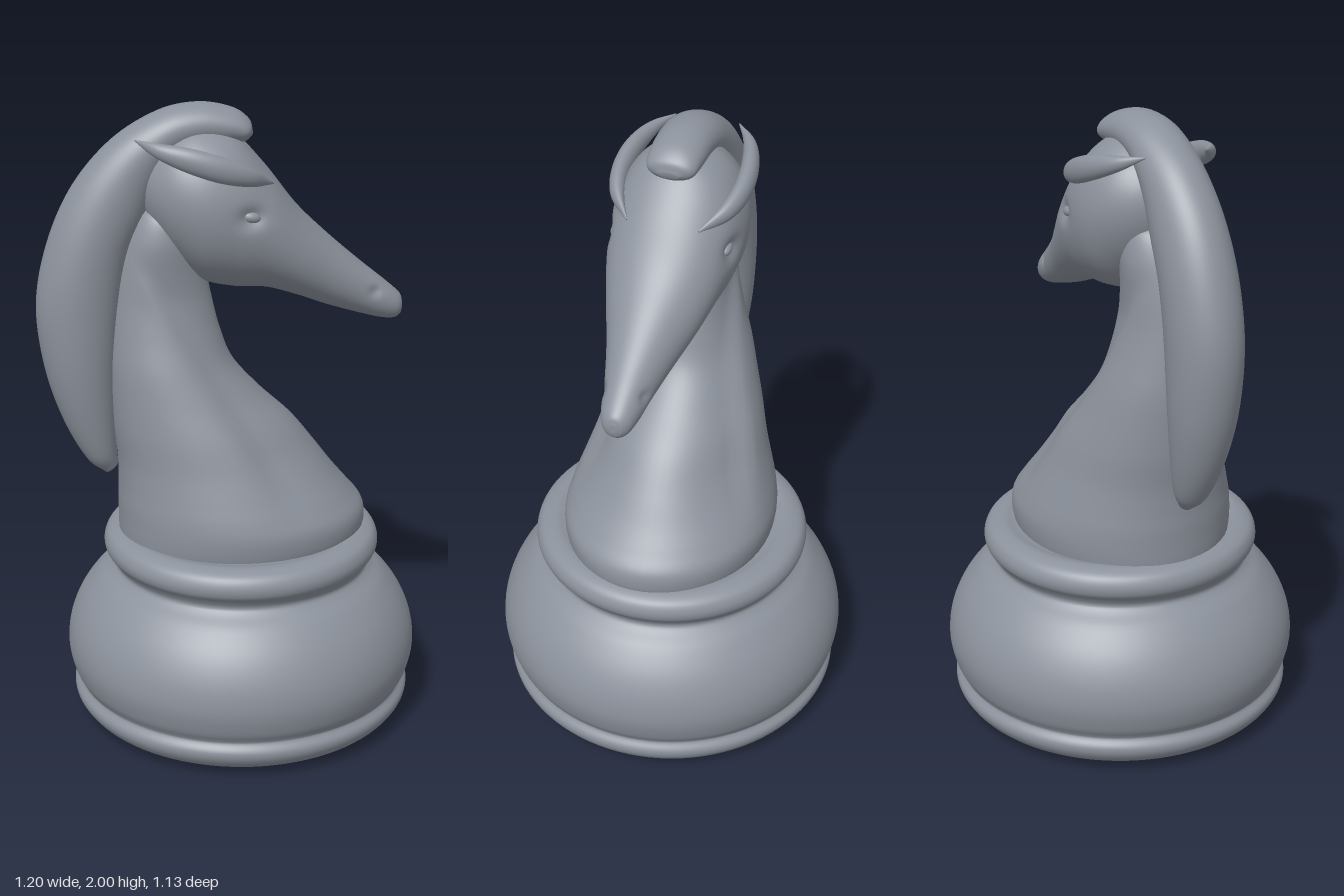
import * as THREE from 'three';

const stone = new THREE.MeshStandardMaterial({ color: 0x8c929c });
stone.name = 'grey stone';

function part(name, geometry) {
  const m = new THREE.Mesh(geometry, stone);
  m.name = name;
  return m;
}

// Smooth skin over elliptical sections. Row: centre x, y, z, then half-axis x, y and half-width in z.
function loft(rows, sculpt, steps = 8, sides = 56) {
  const curve = (from) => new THREE.CatmullRomCurve3(
    rows.map((r) => new THREE.Vector3(r[from], r[from + 1], r[from + 2])), false, 'catmullrom');
  const centres = curve(0), sizes = curve(3);
  const n = (rows.length - 1) * steps;
  const pos = [], idx = [];
  for (let i = 0; i <= n; i++) {
    const c = centres.getPoint(i / n), s = sizes.getPoint(i / n);
    for (let j = 0; j < sides; j++) {
      const a = (j / sides) * Math.PI * 2;
      const p = new THREE.Vector3(
        c.x + s.x * Math.cos(a), c.y + s.y * Math.cos(a), c.z + s.z * Math.sin(a));
      if (sculpt) sculpt(p);
      pos.push(p.x, p.y, p.z);
    }
  }
  for (let i = 0; i < n; i++) {
    for (let j = 0; j < sides; j++) {
      const k = (j + 1) % sides;
      const a = i * sides + j, b = i * sides + k;
      idx.push(a, b, a + sides, b, b + sides, a + sides);
    }
  }
  // close both ends with fans
  const first = pos.length / 3, last = first + 1, top = n * sides;
  pos.push(...rows[0].slice(0, 3), ...rows[rows.length - 1].slice(0, 3));
  for (let j = 0; j < sides; j++) {
    const k = (j + 1) % sides;
    idx.push(first, k, j, last, top + j, top + k);
  }
  const g = new THREE.BufferGeometry();
  g.setAttribute('position', new THREE.Float32BufferAttribute(pos, 3));
  g.setIndex(idx);
  g.computeVertexNormals();
  return g;
}

const bump = (x, y, cx, cy, rx, ry) => Math.exp(-(((x - cx) / rx) ** 2) - ((y - cy) / ry) ** 2);

function makeBase() {
  const profile = [
    [0.40, 0.004], [0.46, 0.012], [0.515, 0.035], [0.545, 0.07], [0.55, 0.1], [0.535, 0.124],
    [0.536, 0.136], [0.553, 0.17], [0.567, 0.24], [0.557, 0.32], [0.522, 0.4], [0.468, 0.47],
    [0.425, 0.505], [0.41, 0.525], [0.42, 0.548], [0.438, 0.572], [0.442, 0.6], [0.43, 0.628],
    [0.405, 0.643], [0.375, 0.648], [0.34, 0.64], [0.28, 0.635],
  ].map(([r, y]) => new THREE.Vector2(r, y));
  const pts = [new THREE.Vector2(0, 0), new THREE.Vector2(0.38, 0),
    ...new THREE.SplineCurve(profile).getPoints(90), new THREE.Vector2(0, 0.635)];
  const base = part('base', new THREE.LatheGeometry(pts, 96));
  base.position.x = 0.033;
  return base;
}

function makeNeck() {
  // height, back x, front x, half-width
  const rows = [
    [0.61, -0.36, 0.42, 0.325], [0.66, -0.362, 0.432, 0.336], [0.71, -0.362, 0.425, 0.338],
    [0.76, -0.362, 0.385, 0.327], [0.82, -0.36, 0.335, 0.307], [0.9, -0.362, 0.275, 0.28],
    [1.0, -0.375, 0.195, 0.25], [1.1, -0.382, 0.09, 0.215], [1.2, -0.385, 0.005, 0.183],
    [1.3, -0.38, -0.035, 0.152], [1.4, -0.37, -0.06, 0.13], [1.5, -0.355, -0.08, 0.122],
    [1.6, -0.33, -0.1, 0.118], [1.67, -0.3, -0.12, 0.1], [1.7, -0.27, -0.15, 0.06],
  ].map(([y, back, front, w]) => [(back + front) / 2, y, 0, (back - front) / 2, 0, w]);
  // slimmer throat in front of a diagonal muscle ridge
  return part('neck', loft(rows, (p) => {
    const ridge = -0.3 + (1.5 - p.y) * 0.57;
    const ahead = THREE.MathUtils.smoothstep(p.x, ridge - 0.01, ridge + 0.06);
    const fade = THREE.MathUtils.smoothstep(p.y, 0.72, 0.95)
      * (1 - THREE.MathUtils.smoothstep(p.y, 1.4, 1.6));
    p.z *= 1 - 0.13 * ahead * fade;
  }));
}

function makeHead() {
  // x, underside y, top y, half-width
  const rows = [
    [-0.285, 1.73, 1.77, 0.02], [-0.275, 1.69, 1.81, 0.06], [-0.24, 1.62, 1.865, 0.12],
    [-0.18, 1.54, 1.915, 0.172], [-0.1, 1.465, 1.94, 0.2], [0, 1.437, 1.915, 0.198],
    [0.1, 1.43, 1.813, 0.178], [0.2, 1.4, 1.685, 0.145], [0.3, 1.362, 1.587, 0.107],
    [0.4, 1.33, 1.5, 0.076], [0.47, 1.311, 1.443, 0.06], [0.515, 1.307, 1.405, 0.046],
    [0.535, 1.318, 1.385, 0.03], [0.542, 1.335, 1.365, 0.012],
  ].map(([x, low, high, w]) => [x, (low + high) / 2, 0, 0, (high - low) / 2, w]);
  // eye sockets and nostrils
  return part('head', loft(rows, (p) => {
    p.z *= 1 - 0.11 * bump(p.x, p.y, 0.035, 1.685, 0.04, 0.028)
      - 0.14 * bump(p.x, p.y, 0.445, 1.41, 0.022, 0.018);
  }, 12, 96));
}

function makeMane() {
  // outer x, y, inner x, y, half-width
  const rows = [
    [0.064, 1.915, 0.058, 1.895, 0.03], [0.052, 1.95, 0.035, 1.88, 0.07],
    [0, 1.983, -0.01, 1.875, 0.081], [-0.1, 2, -0.1, 1.87, 0.085],
    [-0.22, 1.977, -0.17, 1.84, 0.09], [-0.36, 1.895, -0.22, 1.76, 0.097],
    [-0.48, 1.76, -0.26, 1.66, 0.106], [-0.56, 1.59, -0.31, 1.55, 0.111],
    [-0.6, 1.4, -0.34, 1.4, 0.111], [-0.582, 1.2, -0.36, 1.2, 0.104],
    [-0.53, 1.025, -0.365, 1.05, 0.085], [-0.46, 0.89, -0.365, 0.93, 0.057],
    [-0.4, 0.838, -0.36, 0.87, 0.025],
  ].map(([ox, oy, ix, iy, w]) =>
    [(ox + ix) / 2, (oy + iy) / 2, 0, (ix - ox) / 2, (iy - oy) / 2, w]);
  return part('mane', loft(rows));
}

function makeEar(side) {
  return part(side > 0 ? 'earFront' : 'earBack', loft([
    [-0.3, 1.91, 0.1 * side, 0, 0.002, 0.002],
    [-0.24, 1.888, 0.15 * side, 0.004, 0.021, 0.02],
    [-0.15, 1.862, 0.18 * side, 0.008, 0.035, 0.027],
    [-0.05, 1.83, 0.186 * side, 0.008, 0.037, 0.027],
    [0.04, 1.801, 0.163 * side, 0.004, 0.026, 0.022],
    [0.112, 1.773, 0.11 * side, 0, 0.003, 0.003],
  ], null, 8, 28));
}

function makeEye(side) {
  const eye = part(side > 0 ? 'eyeFront' : 'eyeBack', new THREE.SphereGeometry(1, 24, 16));
  eye.scale.set(0.029, 0.017, 0.017);
  eye.position.set(0.035, 1.685, 0.169 * side);
  eye.rotation.z = -0.2;
  return eye;
}

export function createModel() {
  const knight = new THREE.Group();
  knight.name = 'chessKnight';
  knight.add(makeBase(), makeNeck(), makeHead(), makeMane());
  for (const side of [1, -1]) knight.add(makeEar(side), makeEye(side));
  return knight;
}
